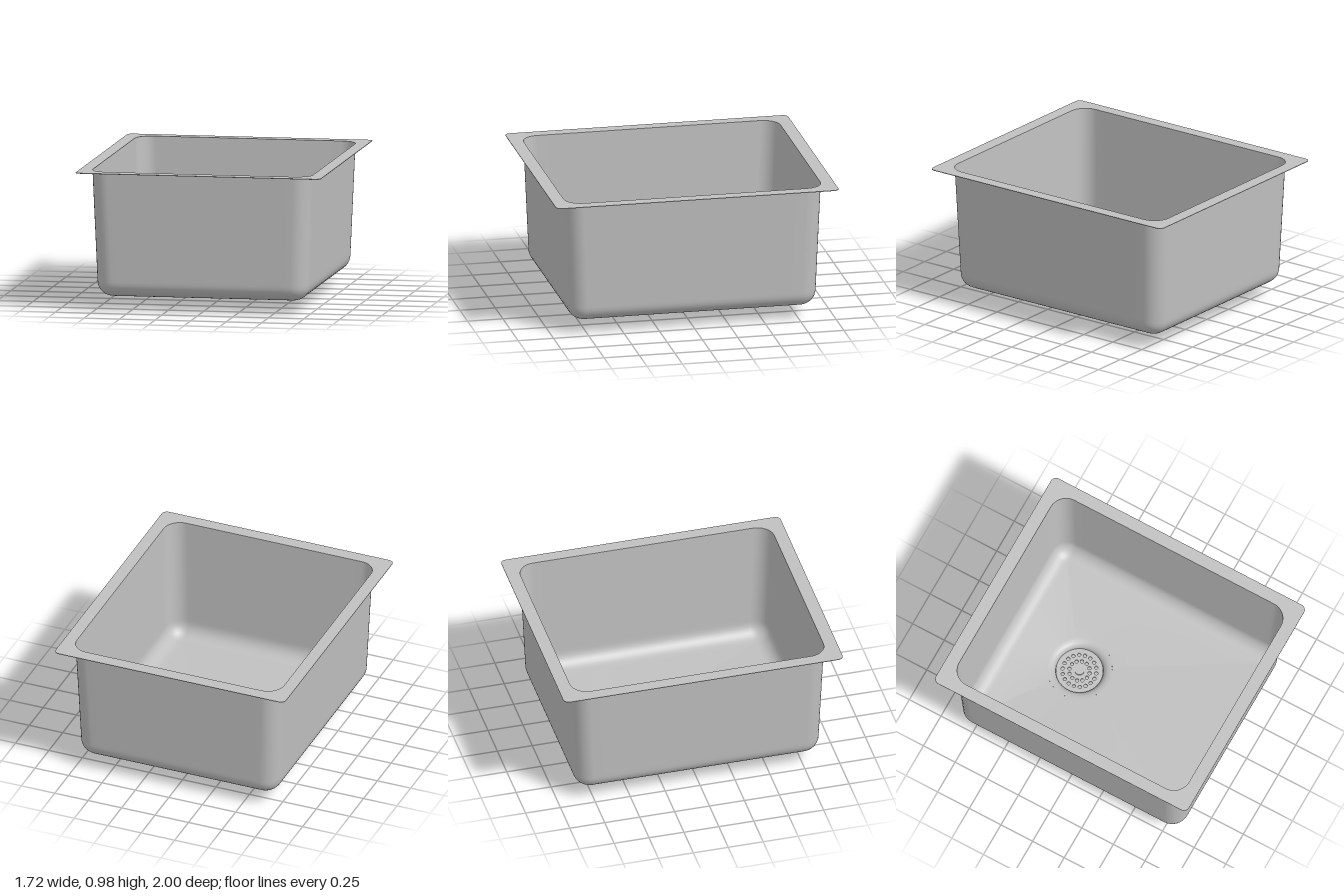
import * as THREE from 'three';

const TOP = 0.974, DRAIN_Z = -0.32, DRAIN_R = 0.227, FLOOR_Y = 0.067;
const EDGE_STEPS = 20, ARC_STEPS = 8;

// Points round a rounded rectangle, as [x, z], the same count for every size
function roundedLoop(hx, hz, r) {
  const corners = [];
  [[1, 1], [-1, 1], [-1, -1], [1, -1]].forEach(([sx, sz], c) => {
    const arc = [];
    for (let i = 0; i <= ARC_STEPS; i++) {
      const a = (c + i / ARC_STEPS) * Math.PI / 2;
      arc.push([sx * (hx - r) + r * Math.cos(a), sz * (hz - r) + r * Math.sin(a)]);
    }
    corners.push(arc);
  });
  const loop = [];
  corners.forEach((arc, c) => {
    loop.push(...arc);
    const a = arc[ARC_STEPS], b = corners[(c + 1) % 4][0];
    for (let i = 1; i < EDGE_STEPS; i++) {
      const t = i / EDGE_STEPS;
      loop.push([a[0] + (b[0] - a[0]) * t, a[1] + (b[1] - a[1]) * t]);
    }
  });
  return loop;
}

// Skin a list of closed loops of Vector3 with smooth normals
function loft(loops) {
  const n = loops[0].length, index = [];
  for (let j = 0; j < loops.length - 1; j++) {
    for (let i = 0; i < n; i++) {
      const k = (i + 1) % n;
      const a = j * n + i, b = j * n + k, c = a + n, d = b + n;
      index.push(a, b, c, b, d, c);
    }
  }
  const g = new THREE.BufferGeometry().setFromPoints(loops.flat());
  g.setIndex(index);
  g.computeVertexNormals();
  return g;
}

function bowlGeometry() {
  const at = (loop, y) => loop.map(([x, z]) => new THREE.Vector3(x, y, z));
  const loops = [];
  // Tapered walls
  for (const t of [0, 0.5, 0.97]) {
    loops.push(at(roundedLoop(0.775 - 0.03 * t, 0.908 - 0.03 * t, 0.12), TOP - 0.774 * t));
  }
  // Rounded edge between walls and floor
  for (let i = 0; i <= 8; i++) {
    const a = i / 8 * Math.PI / 2, inset = 0.105 * (1 - Math.cos(a));
    loops.push(at(roundedLoop(0.745 - inset, 0.878 - inset, 0.12 - inset), 0.2 - 0.105 * Math.sin(a)));
  }
  // Floor falling to the round drain opening
  const edge = loops[loops.length - 1];
  for (const t of [0.04, 0.35, 0.7, 0.97, 1]) {
    loops.push(edge.map(p => {
      const a = Math.atan2(p.z - DRAIN_Z, p.x);
      const q = new THREE.Vector3(Math.cos(a) * DRAIN_R, FLOOR_Y, DRAIN_Z + Math.sin(a) * DRAIN_R);
      return p.clone().lerp(q, t);
    }));
  }
  return loft(loops);
}

export function createModel() {
  const model = new THREE.Group();
  const steel = new THREE.MeshStandardMaterial({ color: 0xc0c0c0, side: THREE.DoubleSide });
  steel.name = 'brushed steel';

  const add = (name, geometry, parent = model) => {
    const mesh = new THREE.Mesh(geometry, steel);
    mesh.name = name;
    parent.add(mesh);
    return mesh;
  };
  const vectors = loop => loop.map(([x, z]) => new THREE.Vector2(x, z));

  add('bowl', bowlGeometry());

  // Flat mounting flange around the opening
  const flange = new THREE.Shape(vectors(roundedLoop(0.862, 1, 0.04)));
  flange.holes.push(new THREE.Path(vectors(roundedLoop(0.775, 0.908, 0.12))));
  const flangeGeometry = new THREE.ExtrudeGeometry(flange, { depth: 0.004, bevelEnabled: false });
  flangeGeometry.rotateX(Math.PI / 2);
  add('flange', flangeGeometry).position.y = TOP + 0.002;

  // Drain: flared throat, closed base and perforated strainer
  const drain = new THREE.Group();
  drain.name = 'drain';
  drain.position.z = DRAIN_Z;
  model.add(drain);

  const profile = [[DRAIN_R, FLOOR_Y], [0.205, 0.065], [0.188, 0.058], [0.175, 0.046], [0.167, 0.033], [0.165, 0.02], [0.165, 0]];
  add('drainThroat', new THREE.LatheGeometry(profile.map(p => new THREE.Vector2(...p)), 64), drain);
  add('drainBase', new THREE.CircleGeometry(0.165, 64).rotateX(Math.PI / 2), drain);

  const plate = new THREE.Shape().absarc(0, 0, 0.164, 0, Math.PI * 2);
  for (const [count, radius] of [[12, 0.072], [18, 0.118]]) {
    for (let i = 0; i < count; i++) {
      const a = (i + 0.5) / count * Math.PI * 2;
      plate.holes.push(new THREE.Path().absarc(radius * Math.cos(a), radius * Math.sin(a), 0.012, 0, Math.PI * 2, true));
    }
  }
  const strainer = new THREE.ExtrudeGeometry(plate, { depth: 0.008, bevelEnabled: false, curveSegments: 16 });
  strainer.rotateX(-Math.PI / 2);
  add('strainer', strainer, drain).position.y = 0.006;
  add('strainerButton', new THREE.CylinderGeometry(0.032, 0.032, 0.01, 32), drain).position.y = 0.018;

  return model;
}
